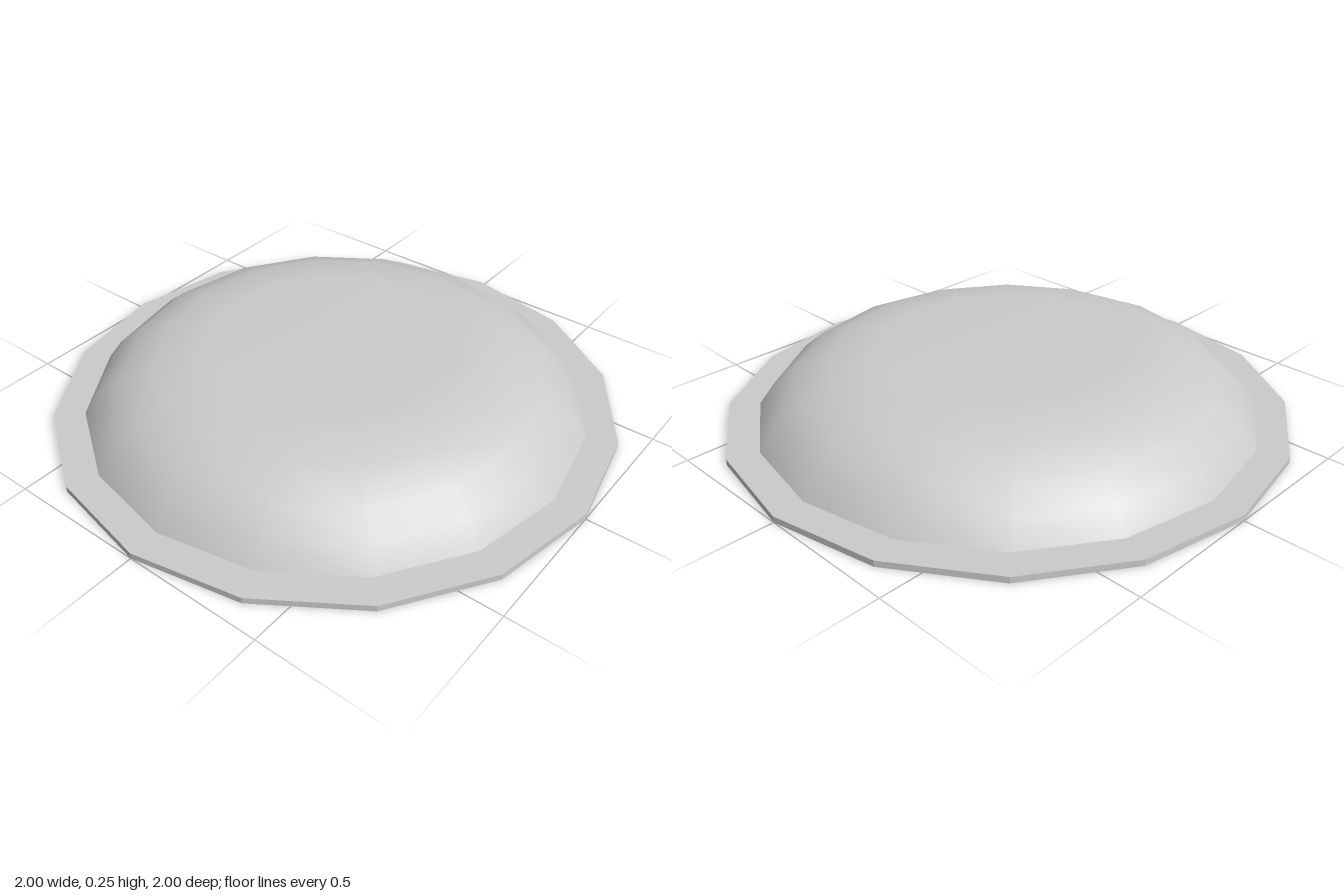
import * as THREE from 'three';

const SIDES = 16;

// Revolve [radius, height] pairs around the vertical axis
function revolve(name, profile, options) {
  const points = profile.map(([r, y]) => new THREE.Vector2(r, y));
  const material = new THREE.MeshStandardMaterial({ color: 0xcccccc, ...options });
  const mesh = new THREE.Mesh(new THREE.LatheGeometry(points, SIDES), material);
  mesh.name = name;
  return mesh;
}

export function createModel() {
  const model = new THREE.Group();
  model.name = 'flangedDome';

  // Thin flat ring, open in the middle
  const inner = 0.89, outer = 1, thickness = 0.022;
  model.add(revolve('flange', [
    [inner, 0], [outer, 0], [outer, thickness], [inner, thickness], [inner, 0],
  ], { flatShading: true }));

  // Smooth hollow shell with a flat crown
  model.add(revolve('dome', [
    [inner, thickness], [0.835, 0.1], [0.75, 0.17], [0.63, 0.222], [0.45, 0.255], [0, 0.255],
  ], { side: THREE.DoubleSide }));

  return model;
}
